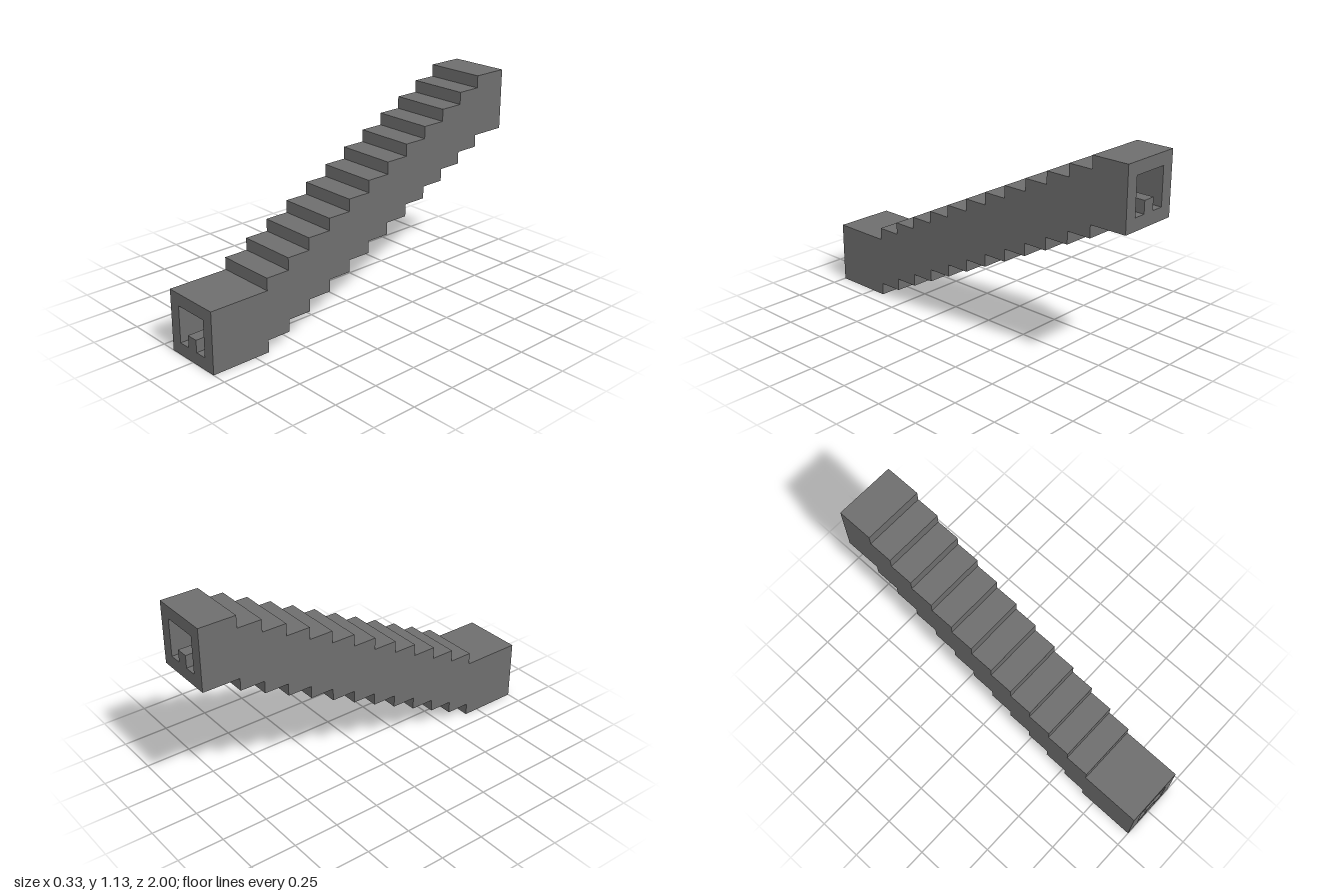
import * as THREE from 'three';

const U = 1 / 15;          // module unit
const STEPS = 12;          // rises between the two ends
const HALF = 2.5 * U;      // half of the square section

export function createModel() {
  const group = new THREE.Group();
  const stone = new THREE.MeshStandardMaterial({ color: 0x6e6e6e });
  stone.name = 'stone grey';

  // z of the front face of step i, and its underside height
  const frontZ = i => (i === 0 ? 15 : 12 - 2 * i) * U;
  const baseY = i => i * U;

  const add = (name, geometry) => {
    const mesh = new THREE.Mesh(geometry, stone);
    mesh.name = name;
    group.add(mesh);
  };

  const outline = (points) => points.map(([x, y]) => new THREE.Vector2(x * U, y * U));

  // Square section with an opening, pushed through one step
  const hollowStep = (name, i, opening) => {
    const front = frontZ(i), back = i === STEPS ? -1 : frontZ(i + 1);
    const shape = new THREE.Shape(outline([[-2.5, 0], [2.5, 0], [2.5, 5], [-2.5, 5]]));
    shape.holes.push(new THREE.Path(outline(opening)));
    const geometry = new THREE.ExtrudeGeometry(shape, { depth: front - back, bevelEnabled: false });
    geometry.translate(0, baseY(i), back);
    add(name, geometry);
  };

  // Openings: the end blocks keep a central rail on the floor
  const railed = [[-1.5, 1], [-0.5, 1], [-0.5, 2], [0.5, 2], [0.5, 1], [1.5, 1], [1.5, 4], [-1.5, 4]];
  const recess = [[-1.5, 1], [1.5, 1], [1.5, 3], [-1.5, 3]];
  const upperRecess = recess.map(([x, y]) => [x, y + 1]);
  hollowStep('frontBlock', 0, railed);
  hollowStep('frontRecessStep', 1, recess);
  hollowStep('backRecessStep', STEPS - 1, upperRecess);
  hollowStep('backBlock', STEPS, railed);

  // Solid staircase between the hollow ends, as one extruded side profile
  const top = [], bottom = [];
  for (let i = 2; i <= STEPS - 2; i++) {
    for (const z of [frontZ(i), frontZ(i + 1)]) {
      bottom.push(new THREE.Vector2(z, baseY(i)));
      top.push(new THREE.Vector2(z, baseY(i) + 5 * U));
    }
  }
  const profile = new THREE.Shape([...bottom, ...top.reverse()]);
  const stairs = new THREE.ExtrudeGeometry(profile, { depth: 2 * HALF, bevelEnabled: false });
  stairs.rotateY(-Math.PI / 2);
  stairs.translate(HALF, 0, 0);
  add('staircase', stairs);

  return group;
}
